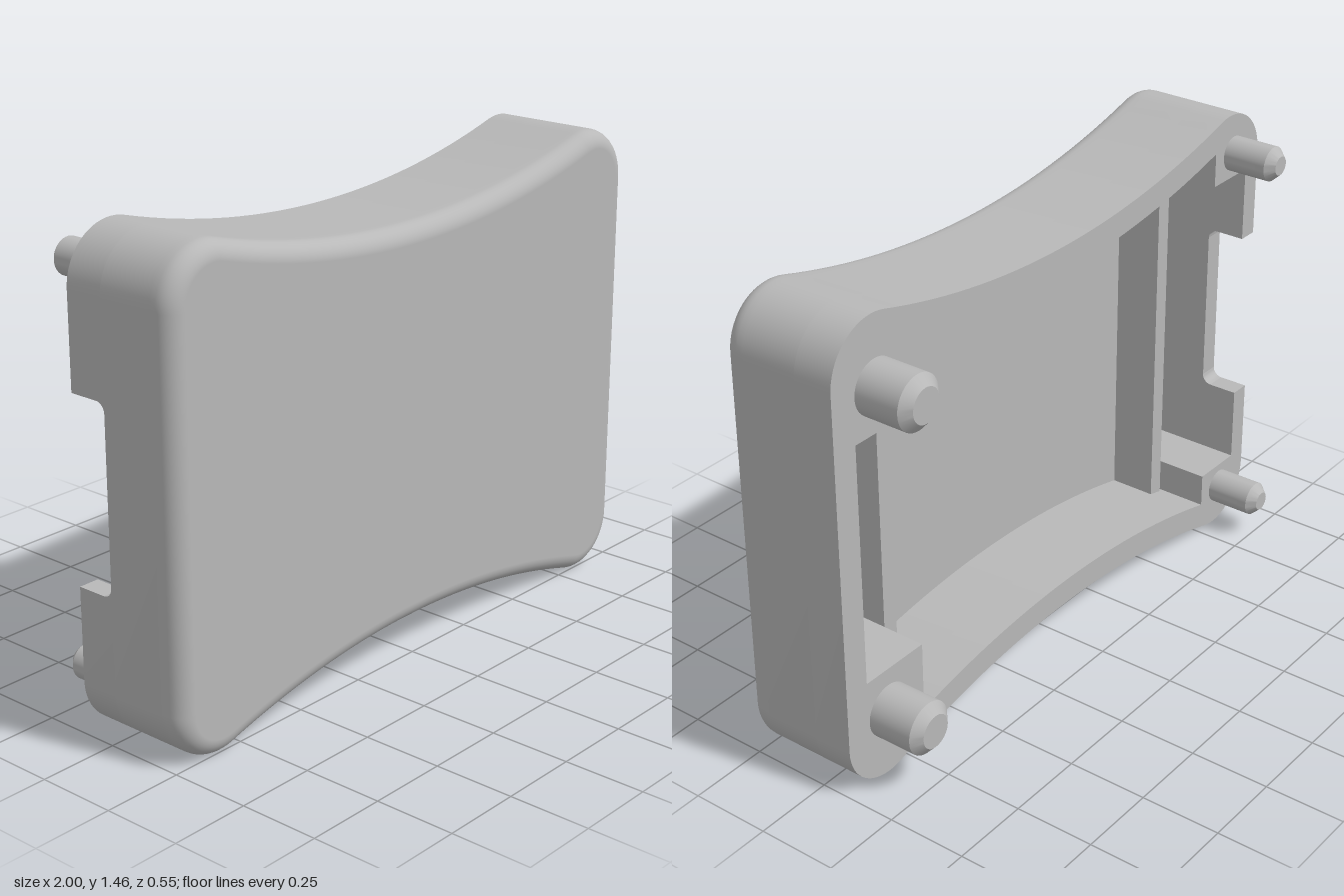
import * as THREE from 'three';
import { toCreasedNormals } from 'three/addons/utils/BufferGeometryUtils.js';

const MID = 0.73;                          // height of the horizontal symmetry plane
const BACK = -0.105, SLOT = 0.02, FLOOR = 0.2, FRONT = 0.275;
const CX = 0.835, CY = 0.565, R = 0.165;   // corner circle
const AY = 3.41, AR = 2.8;                 // long concave arc
const FILLET = 0.055, WALL = 0.083;

const v2 = (x, y) => new THREE.Vector2(x, y);
const arcY = (x, d) => AY - Math.sqrt((AR + d) ** 2 - x * x);

// Four counter-clockwise quadrants of the outline, inset by d
function quadrants(d) {
  const q = [];
  const end = Math.atan2(AY - CY, -CX);
  for (let i = 0; i <= 18; i++) {
    const a = (end * i) / 18;
    q.push(v2(CX + (R - d) * Math.cos(a), CY + (R - d) * Math.sin(a)));
  }
  const x0 = q[q.length - 1].x;
  for (let i = 1; i <= 16; i++) {
    const x = x0 * (1 - i / 16);
    q.push(v2(x, arcY(x, d)));
  }
  const flip = (sx, sy) => q.map((p) => v2(p.x * sx, p.y * sy));
  return [
    q,
    flip(-1, 1).reverse().slice(1),
    flip(-1, -1),
    flip(1, -1).reverse().slice(1),
  ].map((list, i) => (i === 2 ? list.slice(0, -1) : list));
}

// Clockwise cavity outline with a pocket at either end
function cavity() {
  const top = [];
  for (let i = 0; i <= 32; i++) {
    const x = -0.76 + (1.44 * i) / 32;
    top.push(v2(x, arcY(x, WALL)));
  }
  const upper = [v2(-0.935, 0.52), v2(-0.76, 0.52), ...top, v2(0.68, 0.38), v2(0.917, 0.38)];
  return [...upper, ...upper.map((p) => v2(p.x, -p.y)).reverse()];
}

function extrude(shape, z0, z1) {
  const g = new THREE.ExtrudeGeometry(shape, { depth: z1 - z0, bevelEnabled: false });
  g.translate(0, 0, z0);
  return toCreasedNormals(g, 0.4);
}

// Rounded front: loops around the outline, closed by a flat face
function frontGeometry() {
  const rings = [[0, FLOOR]];
  for (let i = 0; i <= 8; i++) {
    const a = (Math.PI / 2) * (i / 8);
    rings.push([FILLET * (1 - Math.cos(a)), FRONT - FILLET + FILLET * Math.sin(a)]);
  }
  const pos = [], index = [];
  let n = 0;
  for (const [d, z] of rings) {
    const loop = quadrants(d).flat();
    n = loop.length;
    for (const p of loop) pos.push(p.x, p.y, z);
  }
  for (let r = 0; r < rings.length - 1; r++) {
    for (let i = 0; i < n; i++) {
      const a = r * n + i, b = r * n + ((i + 1) % n);
      index.push(a, b, b + n, a, b + n, a + n);
    }
  }
  const last = (rings.length - 1) * n, center = rings.length * n;
  pos.push(0, 0, FRONT);
  for (let i = 0; i < n; i++) index.push(last + i, last + ((i + 1) % n), center);
  const g = new THREE.BufferGeometry();
  g.setAttribute('position', new THREE.Float32BufferAttribute(pos, 3));
  g.setIndex(index);
  g.computeVertexNormals();
  return g;
}

export function createModel() {
  const model = new THREE.Group();
  model.name = 'housingCover';
  const body = new THREE.Group();
  body.name = 'cover';
  body.position.y = MID;
  model.add(body);

  const grey = new THREE.MeshStandardMaterial({ color: 0xb8b8b8 });
  grey.name = 'grey plastic';
  const add = (name, geometry, x = 0, y = 0, z = 0) => {
    const mesh = new THREE.Mesh(geometry, grey);
    mesh.name = name;
    mesh.position.set(x, y, z);
    body.add(mesh);
    return mesh;
  };

  const [q1, q2, q3, q4] = quadrants(0);
  const outline = [...q1, ...q2, ...q3, ...q4];

  // Front face with rounded edge, and the cavity floor behind it
  add('frontPanel', frontGeometry());
  const floor = new THREE.ShapeGeometry(new THREE.Shape(outline));
  floor.rotateY(Math.PI);
  add('cavityFloor', floor, 0, 0, FLOOR);

  // Closed wall in front of the slot
  const closed = new THREE.Shape(outline);
  closed.holes.push(new THREE.Path(cavity()));
  add('frontWall', extrude(closed, SLOT, FLOOR));

  // Rear wall, interrupted by the slot in the right side
  const open = new THREE.Shape([
    v2(-1, -0.28), ...q3, ...q4, ...q1, ...q2, v2(-1, 0.28),
    v2(-0.935, 0.28), ...cavity(), v2(-0.935, -0.28),
  ]);
  add('rearWall', extrude(open, BACK, SLOT));

  // Rounded inner corners of the slot
  for (const s of [-1, 1]) {
    const r = 0.03;
    const pts = [v2(0, 0)];
    for (let i = 0; i <= 6; i++) {
      const a = (Math.PI / 2) * (i / 6);
      pts.push(v2(r * (1 - Math.sin(a)), -s * r * (1 - Math.cos(a))));
    }
    const corner = extrude(new THREE.Shape(pts), 0, 0.065);
    corner.rotateY(Math.PI / 2);
    add('slotCorner', corner, -1, s * 0.28, SLOT);
  }

  // Upright ribs beside the pockets
  for (const x of [0.637, -0.715]) {
    add('rib', new THREE.BoxGeometry(0.053, 1.25, 0.15), x, 0, 0.125);
  }

  // Chamfered locating pegs: thick pair on the left, thin pair on the right
  for (const [x, y, r, c] of [[0.83, 0.517, 0.0825, 0.03], [-0.86, 0.6, 0.055, 0.025]]) {
    const profile = [v2(r, -0.01), v2(r, 0.143), v2(r - c, 0.17), v2(0, 0.17)];
    const peg = toCreasedNormals(new THREE.LatheGeometry(profile, 40), 0.4);
    peg.rotateX(-Math.PI / 2);
    for (const s of [-1, 1]) add(r > 0.06 ? 'thickPeg' : 'thinPeg', peg, x, s * y, BACK);
  }

  return model;
}
